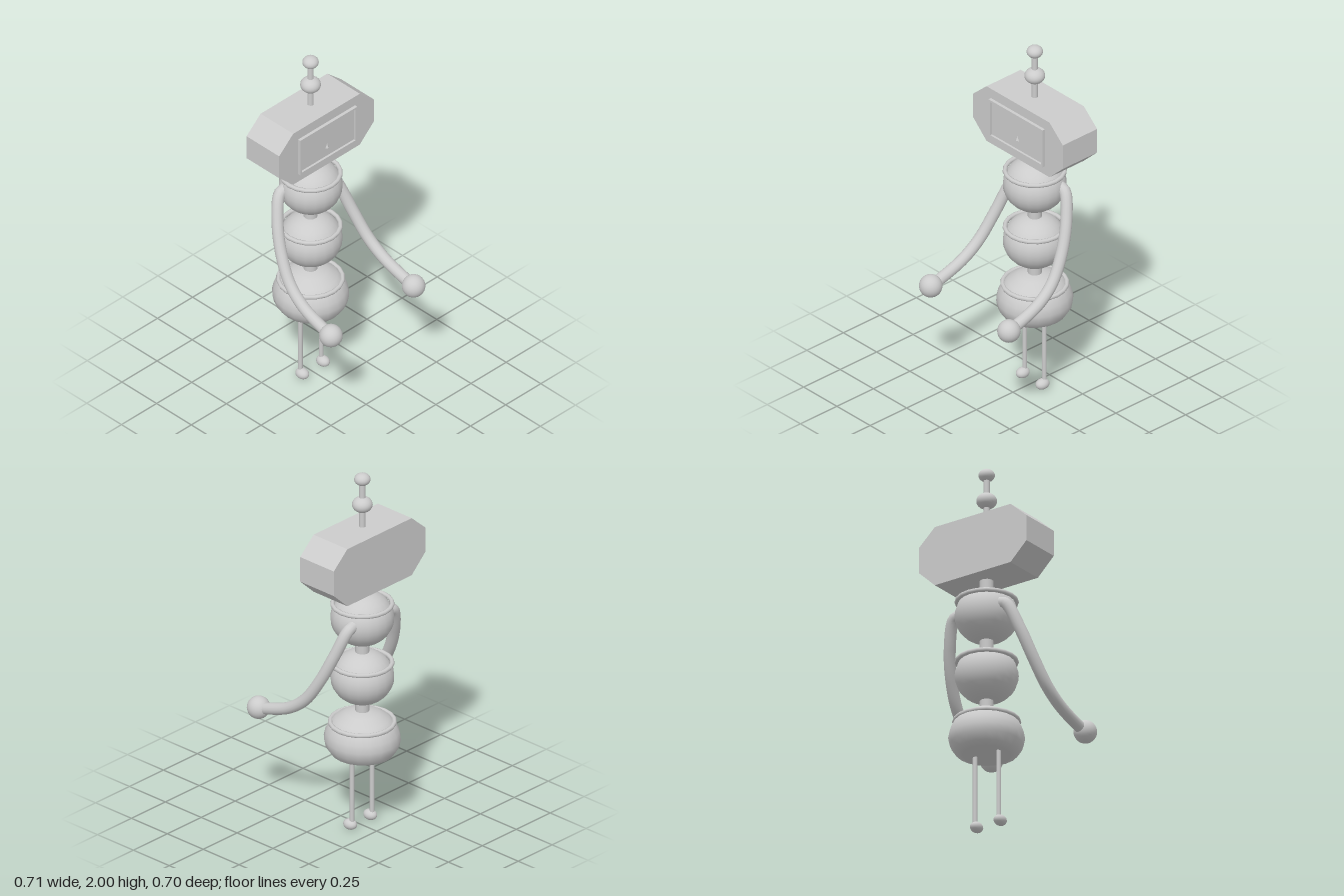
import * as THREE from 'three';

const Z = -0.15; // depth of the body's axis

export function createModel() {
  const model = new THREE.Group();
  const smooth = new THREE.MeshStandardMaterial({ color: 0xcccccc, side: THREE.DoubleSide });
  const flat = new THREE.MeshStandardMaterial({ color: 0xcccccc, flatShading: true });

  function add(name, geometry, x, y, z, material = smooth) {
    const mesh = new THREE.Mesh(geometry, material);
    mesh.name = name;
    mesh.position.set(x, y, z);
    model.add(mesh);
    return mesh;
  }
  function ball(name, x, y, z, rx, ry, rz) {
    add(name, new THREE.SphereGeometry(1, 24, 16), x, y, z).scale.set(rx, ry, rz);
  }
  function rod(name, x, y0, y1, z, r) {
    add(name, new THREE.CylinderGeometry(r, r, y1 - y0, 16), x, (y0 + y1) / 2, z);
  }
  function ring(name, y, r) {
    add(name, new THREE.TorusGeometry(r, 0.012, 8, 20).rotateX(Math.PI / 2), 0, y, Z);
  }
  const shapeOf = (pts) => new THREE.Shape(pts.map(([x, y]) => new THREE.Vector2(x, y)));
  const extrude = (shape, depth) => new THREE.ExtrudeGeometry(shape, { depth, bevelEnabled: false });
  const rect = (w, y0, y1) => [[-w, y0], [w, y0], [w, y1], [-w, y1]];

  // Head: an octagonal slab with chamfered corners
  const head = shapeOf([[-0.237, 1.375], [0.237, 1.375], [0.337, 1.47], [0.337, 1.61],
    [0.237, 1.7], [-0.237, 1.7], [-0.337, 1.61], [-0.337, 1.47]]);
  add('head', extrude(head, 0.235), 0, 0, -0.27, flat);

  // Face: raised frame, recessed screen and a small pointed nose
  const frame = shapeOf(rect(0.203, 1.425, 1.645));
  frame.holes.push(shapeOf(rect(0.19, 1.437, 1.633)));
  add('faceFrame', extrude(frame, 0.022), 0, 0, -0.04, flat);
  add('screen', new THREE.BoxGeometry(0.385, 0.2, 0.01), 0, 1.535, -0.035, flat);
  const nose = new THREE.ConeGeometry(0.021, 0.042, 4);
  add('nose', nose, 0, 1.509, -0.036, flat).scale.z = 0.75;

  // Antenna and spine
  rod('antenna', 0, 1.69, 1.97, Z, 0.016);
  ball('antennaTip', 0, 1.968, Z, 0.042, 0.033, 0.042);
  ball('antennaBead', 0, 1.825, Z, 0.053, 0.042, 0.053);
  rod('spine', 0, 0.6, 1.4, Z, 0.036);

  // Two round body segments, each with a rim
  for (const [name, y] of [['chest', 1.182], ['waist', 0.847]]) {
    add(name, new THREE.SphereGeometry(0.163, 20, 16), 0, y, Z).scale.y = 0.89;
    ring(name + 'Rim', y + 0.079, 0.152);
  }

  // Hips: a squat bowl with a hollowed underside and a domed lid
  const hipPoints = [[0, 0.425], [0.08, 0.412], [0.125, 0.405], [0.165, 0.42], [0.192, 0.46],
    [0.2, 0.5], [0.192, 0.54], [0.172, 0.58], [0.14, 0.612], [0.09, 0.642], [0.04, 0.654], [0, 0.656]];
  const hips = new THREE.LatheGeometry(hipPoints.map(([r, y]) => new THREE.Vector2(r, y)), 20);
  add('hips', hips, 0, 0, Z).scale.x = 0.965;
  ring('hipsRim', 0.59, 0.164);

  // Limbs, mirrored
  for (const [side, s] of [['left', 1], ['right', -1]]) {
    const path = new THREE.CatmullRomCurve3([[0.125, 1.2, -0.207], [0.165, 1.185, -0.207],
      [0.22, 1.05, -0.165], [0.256, 0.9, -0.1], [0.278, 0.77, -0.015], [0.288, 0.69, 0.09],
      [0.293, 0.635, 0.24], [0.294, 0.62, 0.295]].map(([x, y, z]) => new THREE.Vector3(s * x, y, z)));
    add(side + 'Arm', new THREE.TubeGeometry(path, 48, 0.031, 14), 0, 0, 0);
    ball(side + 'Hand', s * 0.294, 0.623, 0.295, 0.06, 0.06, 0.06);
    rod(side + 'Leg', s * 0.074, 0.03, 0.45, -0.148, 0.012);
    ball(side + 'Foot', s * 0.074, 0.028, -0.135, 0.031, 0.028, 0.039);
  }
  // Bring the soles to the ground
  return model;
}
